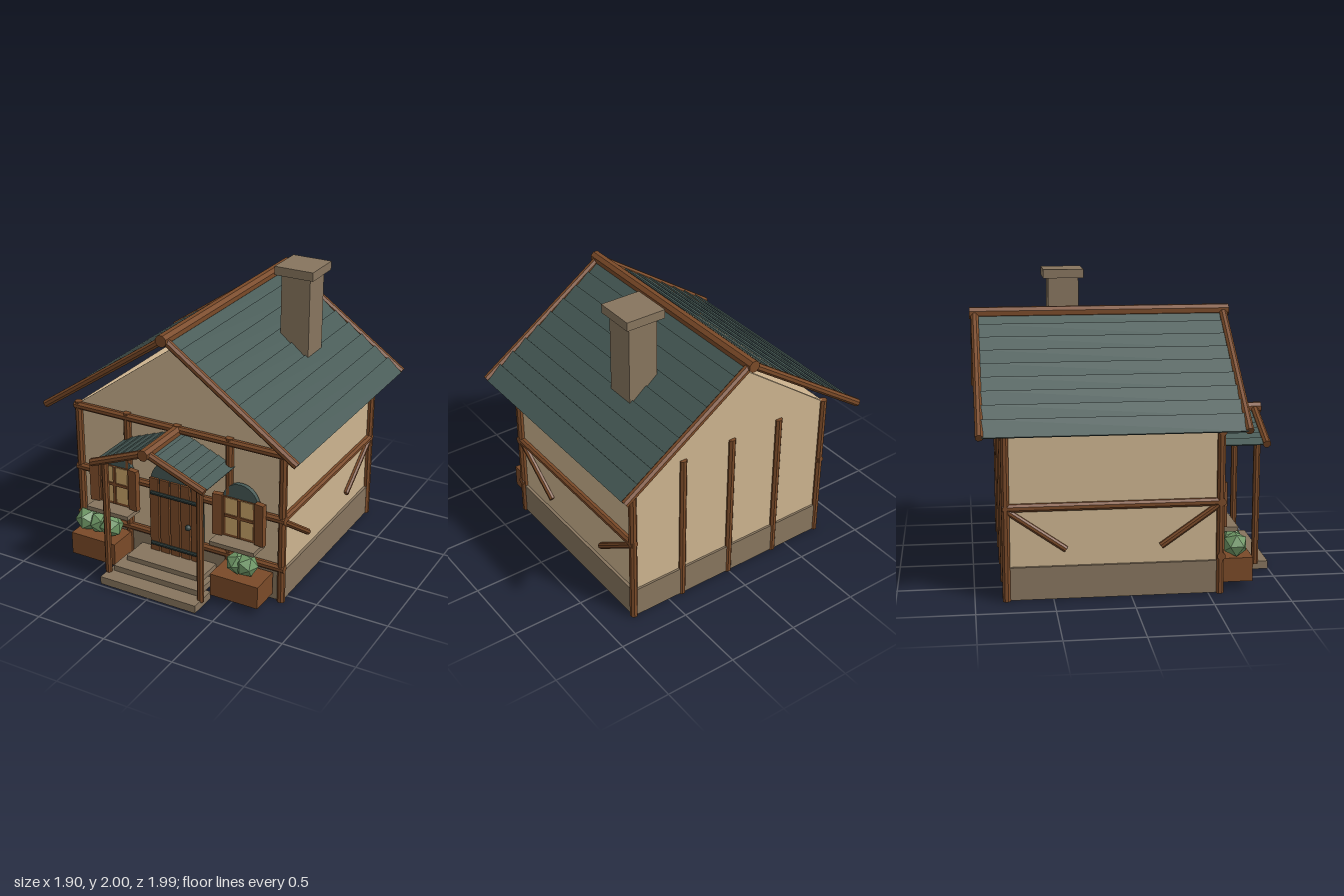
import * as THREE from 'three';

const material = (name, color) => {
  const m = new THREE.MeshStandardMaterial({ color });
  m.name = name;
  return m;
};

export function createModel() {
  const wood = material('wood', 0x7a4a28);
  const stone = material('stone', 0x87755e);
  const plaster = material('plaster', 0xcdb48f);
  const slate = material('slate', 0x465955);
  const glass = material('glass', 0xcaa468);
  const metal = material('metal', 0x303f3d);
  const leaf = material('leaf', 0x6f9866);

  const root = new THREE.Group();
  root.name = 'cottage';

  const add = (name, geometry, mat, parent = root) => {
    const mesh = new THREE.Mesh(geometry, mat);
    mesh.name = name;
    parent.add(mesh);
    return mesh;
  };

  // Box given by its minimum and maximum corners
  const box = (name, mat, [x0, y0, z0], [x1, y1, z1], parent) => {
    const mesh = add(name, new THREE.BoxGeometry(x1 - x0, y1 - y0, z1 - z0), mat, parent);
    mesh.position.set((x0 + x1) / 2, (y0 + y1) / 2, (z0 + z1) / 2);
    return mesh;
  };

  // Eight-sided beam between two points; r is the half width across flats
  const beam = (name, a, b, r = 0.025, mat = wood, parent = root) => {
    const from = new THREE.Vector3(...a), to = new THREE.Vector3(...b);
    const dir = to.clone().sub(from);
    const R = r / Math.cos(Math.PI / 8);
    const g = new THREE.CylinderGeometry(R, R, dir.length(), 8).rotateY(Math.PI / 8).toNonIndexed();
    g.computeVertexNormals();
    const mesh = add(name, g, mat, parent);
    mesh.position.copy(from).add(to).multiplyScalar(0.5);
    mesh.quaternion.setFromUnitVectors(new THREE.Vector3(0, 1, 0), dir.normalize());
    return mesh;
  };

  // Flat outline pushed out along z
  const plate = (name, mat, shape, depth, z, parent) => {
    const g = new THREE.ExtrudeGeometry(shape, { depth, bevelEnabled: false, curveSegments: 24 });
    const mesh = add(name, g, mat, parent);
    mesh.position.z = z;
    return mesh;
  };

  // Two slopes of overlapping boards, each tilted a little steeper than the slope
  const roof = (name, halfWidth, ridgeY, eaveY, z0, z1, count, thickness, extra) => {
    const group = new THREE.Group();
    group.name = name;
    root.add(group);
    const pitch = Math.atan2(ridgeY - eaveY, halfWidth);
    const step = halfWidth / count;
    const width = (step * 1.06) / Math.cos(pitch + extra);
    for (const s of [-1, 1]) {
      for (let i = 0; i < count; i++) {
        const t = (i + 0.5) / count;
        const board = add('roofBoard', new THREE.BoxGeometry(width, thickness, z1 - z0), slate, group);
        board.position.set(s * halfWidth * t, ridgeY + (eaveY - ridgeY) * t, (z0 + z1) / 2);
        board.rotation.z = -s * (pitch + extra);
      }
    }
  };

  // Base and walls
  box('foundation', stone, [-0.785, 0.005, -0.815], [0.785, 0.22, 0.58]);
  box('walls', plaster, [-0.765, 0.2, -0.8], [0.765, 1.1, 0.56]);
  const gable = new THREE.Shape([[-0.765, 1.09], [0.765, 1.09], [0, 1.65]].map(p => new THREE.Vector2(...p)));
  plate('frontGable', plaster, gable, 0.03, 0.53);
  plate('backGable', plaster, gable, 0.03, -0.8);

  // Timber frame
  for (let i = -2; i <= 2; i++) {
    const x = i * 0.3875;
    beam('frontPost', [x, 0, 0.575], [x, 1.1, 0.575]);
    beam('backPost', [x, 0, -0.8], [x, 1.1, -0.8]);
  }
  for (const y of [0.25, 0.61, 1.07]) beam('frontRail', [-0.8, y, 0.58], [0.8, y, 0.58]);
  for (const s of [-1, 1]) {
    beam('sideRail', [s * 0.775, 0.61, -0.82], [s * 0.775, 0.61, 0.59]);
    beam('frontBrace', [s * 0.775, 0.59, 0.56], [s * 0.775, 0.33, 0.19], 0.02);
    beam('backBrace', [s * 0.775, 0.59, -0.79], [s * 0.775, 0.33, -0.42], 0.02);
  }

  // Main roof
  roof('mainRoof', 0.935, 1.74, 1.11, -0.94, 0.71, 9, 0.01, 0.1);
  beam('ridgeBeam', [0, 1.745, -0.99], [0, 1.745, 0.76], 0.038);
  for (const s of [-1, 1]) {
    for (const z of [-0.955, 0.72]) beam('gableBeam', [0, 1.745, z], [s * 0.935, 1.1, z]);
  }

  // Chimney
  box('chimney', stone, [0.33, 1.1, -0.44], [0.54, 1.95, -0.23]);
  box('chimneyCap', stone, [0.295, 1.94, -0.475], [0.575, 2, -0.195]);

  // Porch
  roof('porchRoof', 0.415, 1.055, 0.895, 0.56, 0.95, 7, 0.008, 0.1);
  beam('porchRidge', [0, 1.06, 0.55], [0, 1.06, 1], 0.036);
  for (const s of [-1, 1]) {
    beam('porchGableBeam', [0, 1.06, 0.955], [s * 0.42, 0.893, 0.955]);
    beam('porchPost', [s * 0.355, 0.05, 0.9], [s * 0.355, 0.88, 0.9], 0.022);
  }
  box('lowerStep', stone, [-0.365, 0.01, 0.79], [0.365, 0.065, 0.99]);
  box('middleStep', stone, [-0.33, 0.06, 0.69], [0.33, 0.105, 0.88]);
  box('upperStep', stone, [-0.29, 0.1, 0.58], [0.29, 0.14, 0.78]);

  // Door
  const door = new THREE.Group();
  door.name = 'door';
  root.add(door);
  const doorArch = new THREE.Shape();
  doorArch.absarc(0, 0.65, 0.195, 0, Math.PI, false);
  plate('doorArch', slate, doorArch, 0.035, 0.575, door);
  box('doorBacking', metal, [-0.195, 0.14, 0.57], [0.195, 0.68, 0.605], door);
  for (let i = -2; i <= 2; i++) {
    box('doorPlank', wood, [i * 0.08 - 0.034, 0.135, 0.58], [i * 0.08 + 0.034, 0.69, 0.625], door);
  }
  for (const y of [0.2, 0.585]) beam('doorStrap', [-0.18, y, 0.632], [0.18, y, 0.632], 0.012, metal, door);
  const knob = add('doorKnob', new THREE.SphereGeometry(0.021, 12, 8), metal, door);
  knob.position.set(0.11, 0.395, 0.64);

  // Windows with shutters and sills
  for (const s of [-1, 1]) {
    const win = new THREE.Group();
    win.name = 'window';
    win.position.x = s * 0.48;
    root.add(win);
    const arch = new THREE.Shape();
    arch.absarc(0, 0.665, 0.13, 0, Math.PI, false);
    plate('windowArch', slate, arch, 0.03, 0.57, win);
    box('windowFrame', wood, [-0.125, 0.4, 0.56], [0.125, 0.69, 0.608], win);
    box('windowPane', glass, [-0.1, 0.42, 0.606], [0.1, 0.685, 0.612], win);
    box('uprightBar', wood, [-0.01, 0.41, 0.6], [0.01, 0.69, 0.622], win);
    box('crossBar', wood, [-0.105, 0.548, 0.6], [0.105, 0.568, 0.622], win);
    box('windowSill', stone, [-0.165, 0.368, 0.57], [0.165, 0.398, 0.72], win);
    for (const t of [-1, 1]) {
      const shutter = box('shutter', wood, [t * 0.155 - 0.034, 0.405, 0.595], [t * 0.155 + 0.034, 0.705, 0.635], win);
      shutter.rotation.y = -t * 0.15;
    }
  }

  // Planters and bushes
  for (const s of [-1, 1]) {
    const c = s * 0.545;
    box('planter', wood, [c - 0.175, 0.05, 0.59], [c + 0.175, 0.21, 0.805]);
  }
  [[-0.655, 0.085], [-0.555, 0.08], [-0.46, 0.085], [0.515, 0.078], [0.585, 0.08]].forEach(([x, r], i) => {
    const bush = add('bush', new THREE.IcosahedronGeometry(r, 0), leaf);
    bush.position.set(x, 0.285, 0.7);
    bush.rotation.y = i * 0.7;
  });

  return root;
}
